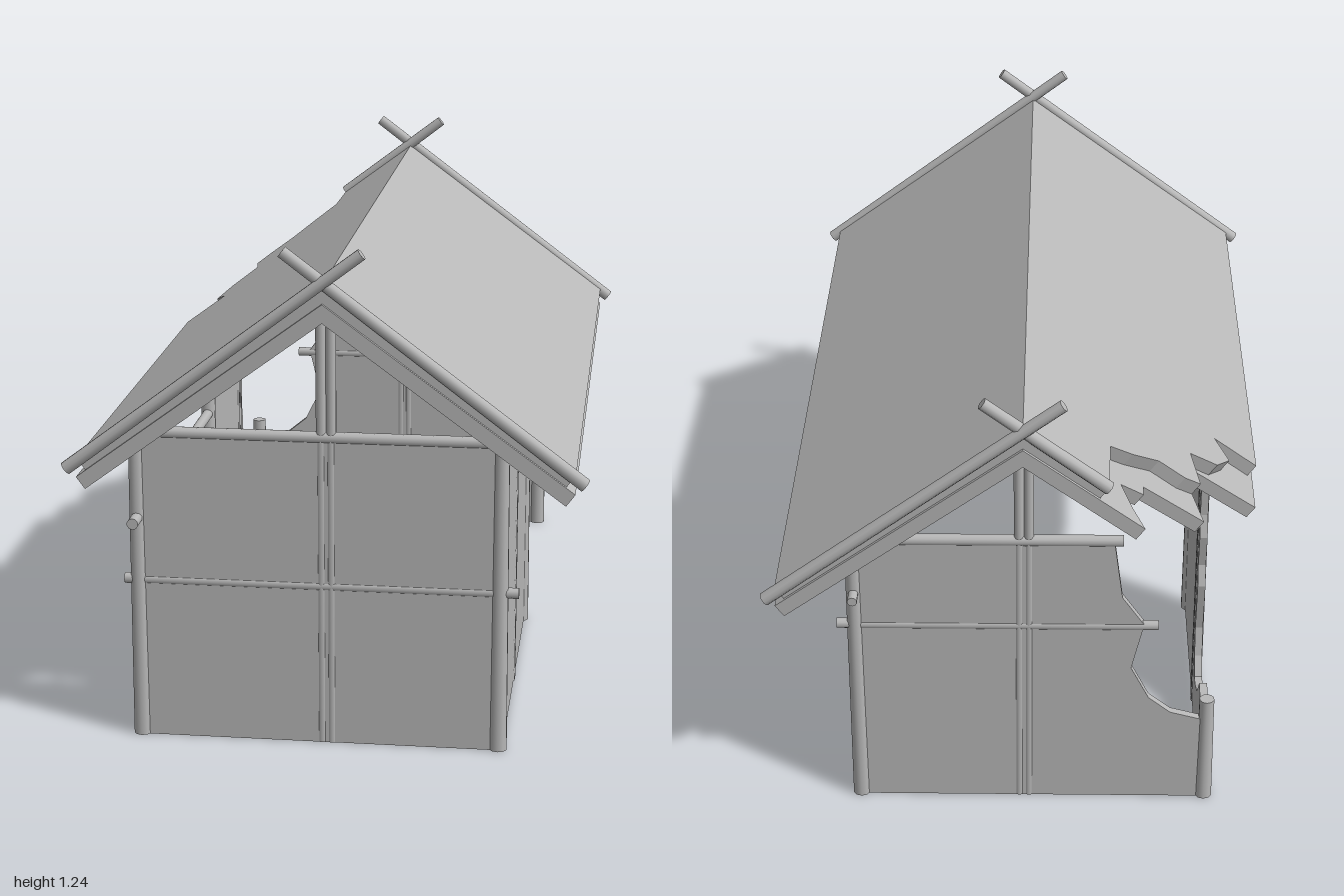
import * as THREE from 'three';

const SLOPE = 0.737; // roof rise per unit of run
const ANGLE = Math.atan(SLOPE);
const XL = 0.415, XR = -0.457, ZF = 0.917, ZB = -0.838; // wall lines
const WALL = 0.02; // wall thickness

export function createModel() {
  const group = new THREE.Group();
  const grey = new THREE.MeshStandardMaterial({ color: 0xb8b8b8 });
  grey.name = 'weatheredGrey';

  function add(geometry, name) {
    const mesh = new THREE.Mesh(geometry, grey);
    mesh.name = name;
    group.add(mesh);
    return mesh;
  }

  // Round timber between two points, slightly tapered
  function pole(name, a, b, r0, r1 = r0) {
    const from = new THREE.Vector3(...a), to = new THREE.Vector3(...b);
    const dir = to.clone().sub(from);
    const mesh = add(new THREE.CylinderGeometry(r1, r0, dir.length(), 10), name);
    mesh.position.copy(from).add(to).multiplyScalar(0.5);
    mesh.quaternion.setFromUnitVectors(new THREE.Vector3(0, 1, 0), dir.normalize());
  }

  // Flat panel extruded evenly about its own plane
  function panel(points, depth) {
    const shape = new THREE.Shape(points.map(([x, y]) => new THREE.Vector2(x, y)));
    return new THREE.ExtrudeGeometry(shape, { depth, bevelEnabled: false });
  }
  function gableWall(name, points, z) {
    add(panel(points, WALL).translate(0, 0, z - WALL / 2), name);
  }
  function sideWall(name, points, x) {
    add(panel(points, WALL).rotateY(-Math.PI / 2).translate(x + WALL / 2, 0, 0), name);
  }

  // Roof layer: outline of (distance from ridge in x, z), mitred at the ridge
  const T = 0.036;
  function roofLayer(name, side, ridgeY, outline) {
    const pts = outline.map(([x, z]) =>
      [x === 0 ? 0 : x / Math.cos(ANGLE) - T * SLOPE, -side * z]);
    const geo = panel(pts, T);
    const p = geo.attributes.position;
    for (let i = 0; i < p.count; i++) {
      if (Math.abs(p.getX(i)) < 1e-6) p.setX(i, -p.getZ(i) * SLOPE);
    }
    const c = Math.cos(ANGLE), s = Math.sin(ANGLE);
    geo.applyMatrix4(new THREE.Matrix4().makeBasis(
      new THREE.Vector3(side * c, -s, 0),
      new THREE.Vector3(0, 0, -side),
      new THREE.Vector3(side * s, c, 0)));
    geo.translate(0, ridgeY, 0);
    geo.computeVertexNormals();
    add(geo, name);
  }

  // Roof: whole left slope, right slope broken away at the back corner
  const whole = (z) => [[0, z], [0.59, z], [0.59, -z], [0, -z]];
  roofLayer('leftRoofCover', 1, 1.105, whole(0.972));
  roofLayer('leftRoofBoards', 1, 1.06, whole(0.98));
  roofLayer('rightRoofCover', -1, 1.105, [
    [0, 0.972], [0.59, 0.972], [0.59, -0.4], [0.48, -0.4], [0.515, -0.465], [0.48, -0.53],
    [0.41, -0.56], [0.43, -0.68], [0.39, -0.7], [0.325, -0.7], [0.26, -0.75], [0.205, -0.78],
    [0.2, -0.972], [0, -0.972]]);
  roofLayer('rightRoofBoards', -1, 1.06, [
    [0, 0.98], [0.59, 0.98], [0.58, -0.54], [0.41, -0.56], [0.405, -0.66], [0.435, -0.775],
    [0.285, -0.795], [0.285, -0.83], [0.23, -0.85], [0.255, -0.92], [0.285, -0.98], [0, -0.98]]);

  // Crossed gable poles
  for (const end of [1, -1]) {
    for (const side of [1, -1]) {
      const z = end * (side === -end ? 0.984 : 0.976);
      const broken = end < 0 && side < 0;
      const x = broken ? 0.2 : 0.613;
      const y = broken ? 1.003 : 0.692;
      pole('gablePole', [side * x, y, z], [-side * 0.093, 1.226, z], 0.0165, 0.0145);
    }
  }

  // Gable walls, open above the tie beam
  gableWall('frontWall', [[XR, 0], [XL, 0], [XL, 0.745], [0.4, 0.76], [-0.41, 0.76], [XR, 0.725]], ZF);
  gableWall('backWall', [
    [XL, 0], [XL, 0.745], [0.4, 0.76], [-0.22, 0.76], [-0.24, 0.61], [-0.295, 0.53], [-0.265, 0.4],
    [-0.31, 0.31], [-0.365, 0.265], [XR, 0.24], [XR, 0]], ZB);

  // Side walls, each covering half the length
  sideWall('leftWall', [[0.02, 0], [ZF, 0], [ZF, 0.75], [0.02, 0.75]], XL);
  sideWall('rightWall', [
    [0, 0], [0, 0.725], [-0.475, 0.725], [-0.47, 0.61], [-0.487, 0.55], [-0.47, 0.455],
    [-0.487, 0.4], [-0.46, 0.25], [-0.475, 0.17], [-0.505, 0.123], [-0.54, 0.123], [-0.61, 0.155],
    [-0.655, 0.2], [-0.685, 0.236], [-0.74, 0.23], [ZB, 0.236], [ZB, 0]], XR);

  // Corner and doorway posts, one snapped short
  const posts = [
    [XL, ZF, 0.757], [XR, ZF, 0.73], [XL, ZB, 0.757], [XR, ZB, 0.3],
    [XL, 0.022, 0.757], [XR, 0, 0.73]];
  for (const [x, z, h] of posts) pole('post', [x, 0, z], [x, h, z], 0.022, 0.019);

  // Paired slim uprights in the middle of each wall
  for (const d of [-0.012, 0.012]) {
    for (const z of [ZF, ZB]) pole('gableUpright', [d, 0, z], [d, 1.07, z], 0.0125);
    pole('sideUpright', [XL, 0, 0.462 + d], [XL, 0.757, 0.462 + d], 0.0135);
    pole('sideUpright', [XR, 0, -0.43 + d], [XR, 0.73, -0.43 + d], 0.0135);
  }

  // Horizontal beams and rails
  pole('frontTieBeam', [-0.41, 0.769, ZF], [0.42, 0.769, ZF], 0.0145);
  pole('backTieBeam', [-0.24, 0.769, ZB], [0.42, 0.769, ZB], 0.0145);
  pole('frontRail', [-0.492, 0.4, ZF], [0.46, 0.4, ZF], 0.013);
  pole('backRail', [-0.33, 0.523, ZB], [0.46, 0.523, ZB], 0.013);
  pole('leftDoorRail', [XL, 0.62, 0.022], [XL, 0.62, -0.89], 0.012);
  pole('rightDoorRail', [XR, 0.557, 0], [XR, 0.557, 0.98], 0.014);

  return group;
}
